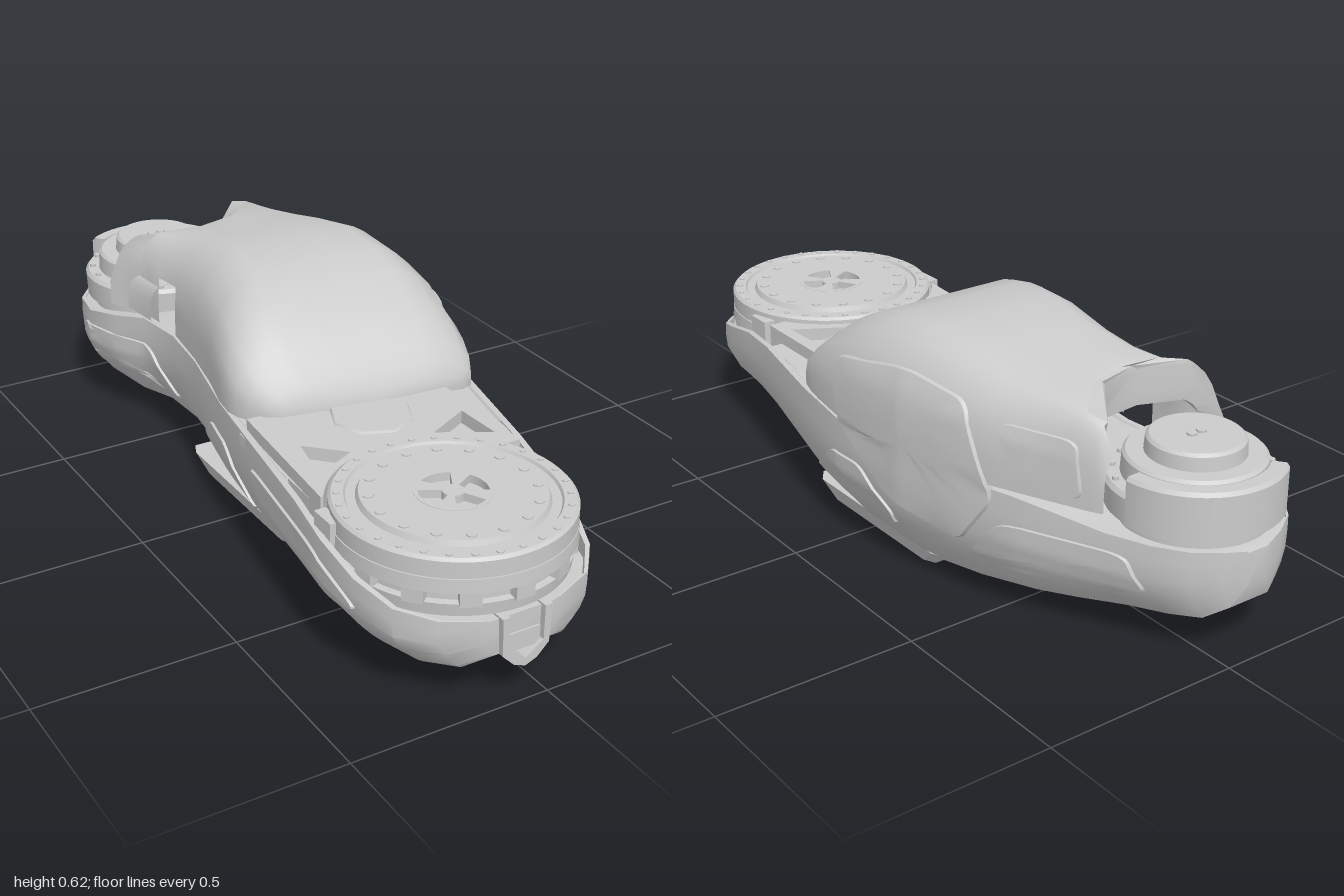
import * as THREE from 'three';
import { toCreasedNormals, mergeGeometries } from 'three/addons/utils/BufferGeometryUtils.js';

const mat = new THREE.MeshStandardMaterial({ color: 0xcccccc, side: THREE.DoubleSide });

// Linear lookup in rows sorted by falling first column
function look(rows, t, col) {
  if (t >= rows[0][0]) return rows[0][col];
  for (let i = 1; i < rows.length; i++) {
    const a = rows[i - 1], b = rows[i];
    if (t >= b[0]) return a[col] + (b[col] - a[col]) * (a[0] - t) / (a[0] - b[0]);
  }
  return rows[rows.length - 1][col];
}

// Hull stations: z, right edge, left edge, bottom, rim height
const HULL = [
  [0.985, -0.17, 0.03, 0.13, 0.225], [0.95, -0.26, 0.13, 0.1, 0.235], [0.88, -0.33, 0.19, 0.09, 0.25],
  [0.78, -0.365, 0.225, 0.085, 0.28], [0.65, -0.37, 0.245, 0.078, 0.31], [0.5, -0.348, 0.275, 0.065, 0.325],
  [0.2, -0.305, 0.34, 0.03, 0.328], [0, -0.275, 0.37, 0.03, 0.328], [-0.25, -0.22, 0.36, 0.03, 0.328],
  [-0.42, -0.2, 0.325, 0.048, 0.328], [-0.57, -0.215, 0.275, 0.063, 0.326], [-0.66, -0.26, 0.23, 0.07, 0.31],
  [-0.77, -0.287, 0.175, 0.085, 0.29], [-0.87, -0.27, 0.13, 0.098, 0.288], [-0.94, -0.215, 0.08, 0.11, 0.287],
  [-0.98, -0.15, 0.02, 0.14, 0.285], [-0.998, -0.1, -0.03, 0.19, 0.28],
];
// Hull side: height fraction, width fraction
const HULL_W = [[1, 0.995], [0.8, 1], [0.55, 0.985], [0.35, 0.92], [0.18, 0.82], [0.05, 0.73], [0, 0.68]];
// Hood stations: z, right edge, left edge, top
const HOOD = [
  [0.25, -0.2, 0.28, 0.385], [0.235, -0.235, 0.31, 0.42], [0.2, -0.265, 0.33, 0.455], [0.15, -0.28, 0.345, 0.497],
  [0.1, -0.285, 0.355, 0.53], [0, -0.277, 0.37, 0.577], [-0.1, -0.25, 0.37, 0.605], [-0.25, -0.22, 0.36, 0.617],
  [-0.4, -0.2, 0.33, 0.595], [-0.5, -0.2, 0.302, 0.575], [-0.6, -0.21, 0.26, 0.56], [-0.7, -0.24, 0.215, 0.552],
  [-0.745, -0.25, 0.195, 0.54], [-0.77, -0.26, 0.18, 0.48],
];
const HOOD_W = [[1, 0.56], [0.97, 0.65], [0.9, 0.76], [0.76, 0.89], [0.54, 0.98], [0.25, 1], [0, 1]];
const HOOD_Y = 0.338;
const FRONT = [-0.065, 0.71], REAR = [-0.065, -0.79];

// The hood grows squarer towards its back
const squarer = (w, z) => w ** (1 - 0.65 * THREE.MathUtils.clamp((-z - 0.45) / 0.25, 0, 1));

// Side surface of hull or hood
function sideX(z, y, s) {
  const hood = y > 0.332, T = hood ? HOOD : HULL;
  const base = hood ? HOOD_Y : look(T, z, 3), top = look(T, z, hood ? 3 : 4);
  const f = THREE.MathUtils.clamp((y - base) / (top - base), 0, 1);
  const l = look(T, z, 1), r = look(T, z, 2);
  const w = hood ? squarer(look(HOOD_W, f, 1), z) : look(HULL_W, f, 1);
  return (l + r) / 2 + s * (r - l) / 2 * w;
}

// Skin over rows of [x, y, z] points
function loft(rows, { closed = false, skip = () => false, crease = 0.6 } = {}) {
  const n = rows[0].length, idx = [];
  for (let i = 0; i < rows.length - 1; i++) for (let j = 0; j < (closed ? n : n - 1); j++) {
    if (skip(rows[i][j], rows[i + 1][j])) continue;
    const a = i * n + j, b = i * n + (j + 1) % n;
    idx.push(a, a + n, b, b, a + n, b + n);
  }
  const g = new THREE.BufferGeometry();
  g.setAttribute('position', new THREE.Float32BufferAttribute(rows.flat(2), 3));
  g.setIndex(idx);
  return toCreasedNormals(g, crease);
}

const collapse = (row, z, y) => {
  const c = row.reduce((s, p) => s + p[0], 0) / row.length;
  return row.map(() => [c, y, z]);
};

function hullGeometry() {
  const rows = [];
  const stations = HULL.map(r => r[0]);
  stations.splice(6, 0, 0.42, 0.4);
  for (const z of stations) {
    const [l, r, b, t] = [1, 2, 3, 4].map(k => look(HULL, z, k));
    const floor = z > 0.41 ? Math.min(0.22, t) : t - 0.005;
    const half = [[0.93, floor], [0.945, t], ...HULL_W.map(([f, w]) => [w, b + (t - b) * f])];
    const ring = [...half, ...half.slice().reverse().map(([w, y]) => [-w, y])];
    rows.push(ring.map(([w, y]) => [(l + r) / 2 + w * (r - l) / 2, y, z]));
  }
  rows.unshift(collapse(rows[0], 0.985, 0.18));
  rows.push(collapse(rows[rows.length - 1], -1, 0.24));
  return loft(rows, { closed: true });
}

function hoodGeometry() {
  // The back edge follows a circle round the rear joint
  const section = (z, inset = 0) => {
    const l = look(HOOD, z, 1) + inset, r = look(HOOD, z, 2) - inset, top = look(HOOD, z, 3) - inset;
    const half = HOOD_W.slice().reverse().map(([f, w]) => [squarer(w, z), HOOD_Y + (top - HOOD_Y) * f]);
    half.push([0.25, top]);
    return [...half, ...half.slice().reverse().map(([w, y]) => [-w, y])].map(([w, y]) => {
      const x = (l + r) / 2 + w * (r - l) / 2, d = x - REAR[0];
      const end = REAR[1] + Math.sqrt(Math.max(0.0004, 0.05 - d * d));
      const slant = (x - 0.3) * 0.13 * THREE.MathUtils.clamp(z / 0.2, 0, 1);
      return [x, y, Math.max(z, end) + slant];
    });
  };
  const zs = HOOD.map(r => r[0]);
  zs.splice(10, 0, -0.55);
  const rows = zs.map(z => section(z));
  rows.unshift(collapse(rows[0], 0.23, 0.36));
  // Rolled lip and inner face of the rear opening
  rows.push(section(-0.77, 0.03));
  rows.push(section(-0.77, 0.03).map(([x, y, z]) => [x + 0.015, y, z + 0.12]));
  const window = (p, q) => p[0] < -0.15 && p[2] < -0.39 && q[2] > -0.52 && q[2] < p[2] && p[1] > 0.37 && p[1] < 0.48;
  return loft(rows, { skip: window, crease: 0.7 });
}

// Raised panel wrapped on the side, from corners [z, y]
function panel(corners, s) {
  const n = corners.length, c = [0, 1].map(k => corners.reduce((a, p) => a + p[k], 0) / n), pts = [];
  corners.forEach((p, i) => {
    const a = corners[(i + n - 1) % n], b = corners[(i + 1) % n];
    const mix = (q, t) => [p[0] + (q[0] - p[0]) * t, p[1] + (q[1] - p[1]) * t];
    const A = mix(a, 0.18), B = mix(b, 0.18);
    for (let t = 0; t <= 1; t += 0.25) {
      pts.push([0, 1].map(k => (1 - t) ** 2 * A[k] + 2 * t * (1 - t) * p[k] + t * t * B[k]));
    }
    for (let t = 0.32; t < 0.8; t += 0.18) pts.push(mix(b, t));
  });
  const levels = [[1, -0.006], [0.97, 0.007], [0.8, 0.007], [0.6, 0.007], [0.4, 0.007], [0.2, 0.007], [0, 0.007]];
  return loft(levels.map(([k, off]) => pts.map(p => {
    const z = c[0] + (p[0] - c[0]) * k, y = c[1] + (p[1] - c[1]) * k;
    return [sideX(z, y, s) + s * off, y, z];
  })), { closed: true, crease: 0.5 });
}

// Flat plate in plan; shape y runs along z, top at the given height
function plate(shape, top, depth) {
  const g = new THREE.ExtrudeGeometry(shape, { depth, bevelEnabled: false, curveSegments: 24 });
  return g.rotateX(Math.PI / 2).translate(0, top, 0);
}
const poly = pts => new THREE.Shape(pts.map(p => new THREE.Vector2(...p)));
const lathe = (pts, start = 0, len = Math.PI * 2) => toCreasedNormals(
  new THREE.LatheGeometry(pts.map(p => new THREE.Vector2(...p)), 64, start, len), 0.5);

// Copies of a geometry in a circle about y
function ringOf(n, r, make, y = 0) {
  return mergeGeometries(Array.from({ length: n }, (_, i) =>
    make().translate(0, y, r).rotateY(i / n * Math.PI * 2)));
}

export function createModel() {
  const root = new THREE.Group();
  const add = (name, geo, parent = root) => {
    const m = new THREE.Mesh(geo, mat);
    m.name = name;
    parent.add(m);
  };
  const group = (name, x, z) => {
    const g = new THREE.Group();
    g.name = name;
    g.position.set(x, 0, z);
    root.add(g);
    return g;
  };

  add('lowerHull', hullGeometry());
  add('hood', hoodGeometry());
  add('hoodBulkhead', new THREE.BoxGeometry(0.42, 0.2, 0.02).translate(0.06, 0.44, -0.38));

  // Side panels
  const A = [[0.2, 0.11], [-0.2, 0.11], [-0.2, 0.15], [-0.09, 0.24], [0.03, 0.24]];
  const B = [[0.03, 0.49], [-0.25, 0.545], [-0.44, 0.52], [-0.53, 0.3], [-0.43, 0.16], [-0.2, 0.2], [-0.01, 0.32]];
  const C = [[-0.54, 0.255], [-0.82, 0.25], [-0.86, 0.16], [-0.72, 0.125], [-0.42, 0.12]];
  const D = [[-0.52, 0.495], [-0.71, 0.495], [-0.73, 0.36], [-0.58, 0.36]];
  const E = [[0.32, 0.17], [0.2, 0.27], [0.62, 0.27], [0.8, 0.21], [0.7, 0.17]];
  add('leftLowerPanel', panel(A, 1));
  add('leftMainPanel', panel(B, 1));
  add('leftRearPanel', panel(C, 1));
  add('leftHoodPanel', panel(D, 1));
  add('rightLowerPanel', panel(A, -1));
  add('rightRearPanel', panel(C, -1));
  add('rightFrontPanel', panel(E, -1));

  // Deck between the front joint and the hood
  const deck = poly([[-0.28, 0.15], [0.23, 0.15], [0.225, 0.56]]);
  deck.absarc(FRONT[0], FRONT[1], 0.285, -0.55, -Math.PI + 0.55, true);
  deck.lineTo(-0.315, 0.56);
  deck.holes.push(poly([[-0.235, 0.33], [-0.15, 0.415], [-0.265, 0.47]]), poly([[0.19, 0.37], [0.195, 0.5], [0.07, 0.43]]));
  add('deck', plate(deck, 0.355, 0.07));
  add('deckFloor', plate(poly([[-0.3, 0.15], [0.3, 0.15], [0.265, 0.5], [0.2, 0.5], [0.05, 0.42], [-0.18, 0.42], [-0.31, 0.5]]), 0.322, 0.03));
  add('deckCover', new THREE.CylinderGeometry(0.1, 0.105, 0.006, 8).translate(-0.01, 0.357, 0.28));

  // Front joint: slotted ring, dish, vaned centre and bolts
  const front = group('frontJoint', ...FRONT);
  add('slottedRing', lathe([[0.25, 0.32], [0.278, 0.32], [0.28, 0.287], [0.256, 0.285], [0.256, 0.258], [0.272, 0.256], [0.268, 0.225], [0, 0.225]]), front);
  add('ringPillars', ringOf(14, 0.265, () => new THREE.BoxGeometry(0.048, 0.04, 0.026), 0.272), front);
  add('dish', lathe([[0.25, 0.32], [0.277, 0.322], [0.277, 0.362], [0.27, 0.369], [0.242, 0.369], [0.238, 0.362], [0.216, 0.362], [0.21, 0.375], [0.088, 0.375], [0.088, 0.35], [0, 0.35]]), front);
  const hub = new THREE.Shape().absarc(0, 0, 0.09, 0, Math.PI * 2);
  for (let i = 0; i < 4; i++) {
    const a = i * Math.PI / 2 - 0.5, h = new THREE.Path();
    h.absarc(0, 0, 0.08, a, a + 1, false);
    h.absarc(0, 0, 0.026, a + 1, a, true);
    hub.holes.push(h);
  }
  add('hubVents', plate(hub, 0.376, 0.02), front);
  const bolt = (r, h) => () => new THREE.CylinderGeometry(r, r, h, 10);
  add('plateBolts', ringOf(16, 0.19, bolt(0.012, 0.006), 0.375), front);
  add('rimBolts', ringOf(30, 0.258, bolt(0.008, 0.008), 0.368), front);
  for (const s of [-1, 1]) add('sideClamp', new THREE.BoxGeometry(0.03, 0.1, 0.07).translate(s * 0.272, 0.3, -0.08), front);

  // Spout at the nose
  const spout = poly([[-0.13, 0.225], [-0.125, 0.13], [-0.095, 0.1], [-0.065, 0.088], [-0.035, 0.1], [-0.005, 0.13], [0, 0.225],
    [-0.02, 0.225], [-0.02, 0.14], [-0.065, 0.108], [-0.11, 0.14], [-0.11, 0.225]]);
  add('noseSpout', new THREE.ExtrudeGeometry(spout, { depth: 0.12, bevelEnabled: false }).translate(0, 0, 0.88));
  add('noseBlock', new THREE.BoxGeometry(0.085, 0.045, 0.06).translate(-0.065, 0.15, 0.96));

  // Rear joint: stepped drum with a raised guard
  const rear = group('rearJoint', ...REAR);
  add('drum', lathe([[0, 0.27], [0.18, 0.28], [0.18, 0.305], [0.2, 0.31], [0.203, 0.37], [0.195, 0.38], [0.165, 0.38], [0.162, 0.425], [0.155, 0.432], [0.115, 0.432], [0.112, 0.465], [0.105, 0.472], [0, 0.472]]), rear);
  add('drumGuard', lathe([[0.185, 0.31], [0.207, 0.31], [0.207, 0.418], [0.2, 0.427], [0.168, 0.427], [0.168, 0.37]], 1.6, 2.2), rear);
  add('drumBolts', ringOf(16, 0.183, bolt(0.008, 0.012), 0.382), rear);
  for (const s of [-1, 1]) add('capScrew', bolt(0.012, 0.006)().translate(s * 0.014, 0.474, 0), rear);

  // Vent pad under the hull, flaring up into it
  const vent = group('bottomVent', 0.035, -0.02);
  const pad = poly([[-0.22, -0.23], [0.22, -0.23], [0.235, -0.2], [0.235, 0.19], [0.21, 0.22], [-0.22, 0.22], [-0.235, 0.19], [-0.235, -0.2]]);
  pad.holes.push(new THREE.Path().absarc(0, 0, 0.175, 0, Math.PI * 2));
  const padGeo = plate(pad, 0.05, 0.045);
  const p = padGeo.attributes.position;
  for (let i = 0; i < p.count; i++) {
    if (p.getY(i) < 0.03 || Math.hypot(p.getX(i), p.getZ(i)) < 0.2) continue;
    p.setXYZ(i, p.getX(i) * 1.06, p.getY(i), p.getZ(i) * 1.25);
  }
  padGeo.computeVertexNormals();
  add('ventPad', padGeo, vent);
  add('ventSpokes', ringOf(28, 0.11, () => new THREE.BoxGeometry(0.009, 0.018, 0.14), 0.015), vent);
  add('ventHub', new THREE.CylinderGeometry(0.042, 0.042, 0.02, 24).translate(0, 0.014, 0), vent);
  add('ventRim', new THREE.TorusGeometry(0.177, 0.007, 8, 48).rotateX(Math.PI / 2).translate(0, 0.007, 0), vent);
  return root;
}
